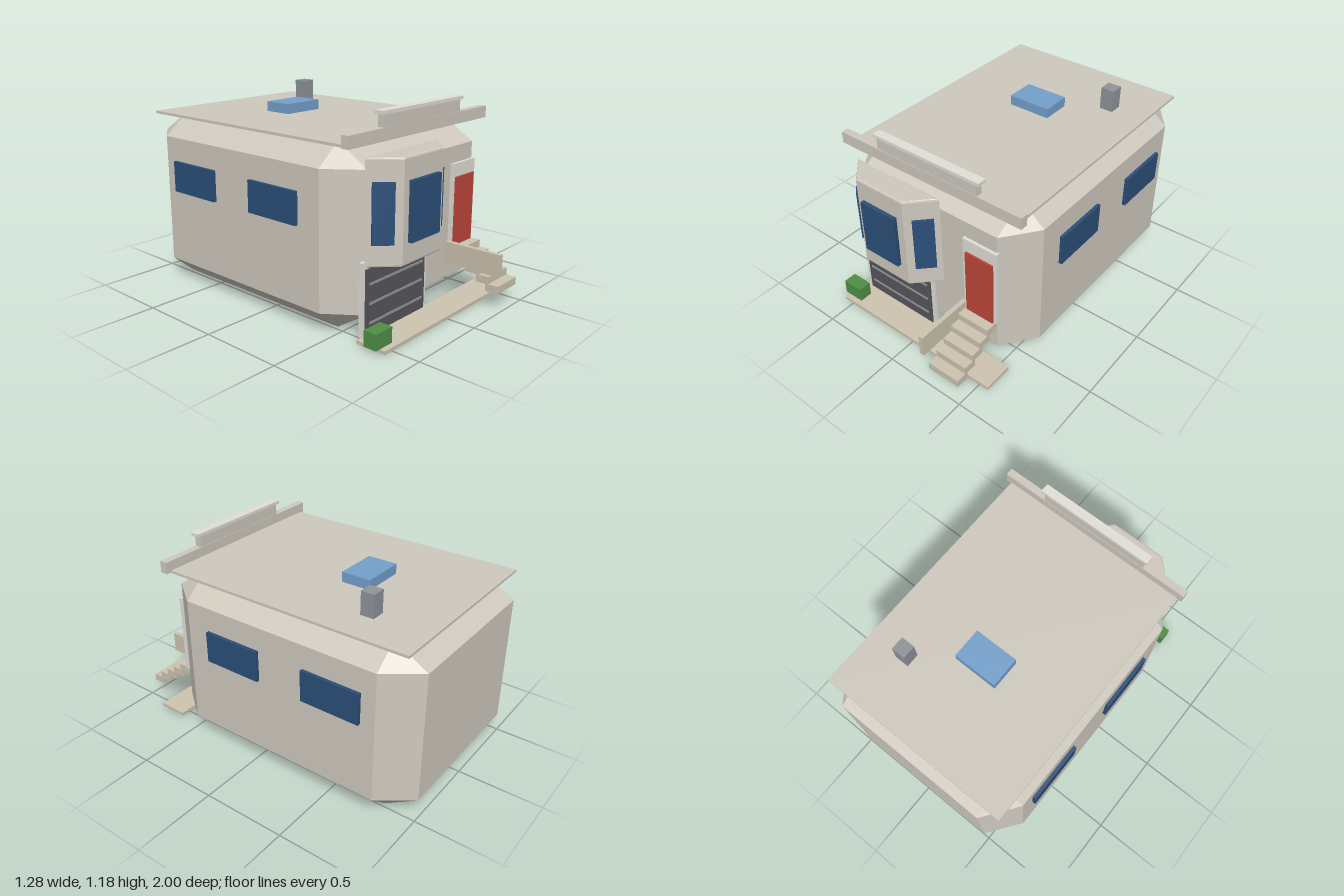
import * as THREE from 'three';
import { ConvexGeometry } from 'three/addons/geometries/ConvexGeometry.js';

const mat = (color) => new THREE.MeshStandardMaterial({ color });

export function createModel() {
  const house = new THREE.Group();
  house.name = 'house';
  const wall = mat(0xcfc9be), trim = mat(0xe2dfd8), glass = mat(0x2c4f78), dark = mat(0x56565c),
    metal = mat(0x8f9499), red = mat(0xbe463b), green = mat(0x4f9046), sky = mat(0x74a0cc), stone = mat(0xcdc4af);

  const add = (name, geometry, material, parent = house) => {
    const mesh = new THREE.Mesh(geometry, material);
    mesh.name = name;
    parent.add(mesh);
    return mesh;
  };
  // box given by its extents on each axis
  const box = (name, [x0, x1], [y0, y1], [z0, z1], material, parent) => {
    const mesh = add(name, new THREE.BoxGeometry(x1 - x0, y1 - y0, z1 - z0), material, parent);
    mesh.position.set((x0 + x1) / 2, (y0 + y1) / 2, (z0 + z1) / 2);
    return mesh;
  };

  // chamfered main body: three points at every corner
  const corners = [];
  for (const [x, xi] of [[-0.62, -0.475], [0.62, 0.475]])
    for (const [y, yi] of [[0, 0.125], [1.02, 0.9]])
      for (const [z, zi] of [[-1, -0.805], [0.64, 0.445]])
        corners.push(new THREE.Vector3(x, yi, zi), new THREE.Vector3(xi, y, zi), new THREE.Vector3(xi, yi, z));
  add('body', new ConvexGeometry(corners), wall);

  // roof and what stands on it
  box('roofSlab', [-0.585, 0.585], [1.018, 1.033], [-0.95, 0.6], wall);
  box('cornice', [-0.618, 0.618], [1.022, 1.09], [0.59, 0.636], wall);
  box('parapet', [-0.342, 0.342], [1.09, 1.158], [0.593, 0.633], wall);
  box('parapetCap', [-0.362, 0.362], [1.158, 1.177], [0.585, 0.64], trim);
  box('skylight', [-0.135, 0.13], [1.03, 1.092], [-0.437, -0.257], sky);
  box('chimney', [0.305, 0.388], [1.03, 1.167], [-0.63, -0.55], metal);

  // bay window with softly bevelled edges
  const bay = new THREE.Group();
  bay.name = 'bayWindow';
  house.add(bay);
  const b = 0.01;
  const plan = new THREE.Shape([[-0.488, -0.65], [0.088, -0.65], [-0.037, -0.775], [-0.363, -0.775]]
    .map(([x, y]) => new THREE.Vector2(x, y)));
  const bayGeometry = new THREE.ExtrudeGeometry(plan, {
    depth: 0.55, bevelEnabled: true, bevelSize: b, bevelThickness: b, bevelSegments: 2,
  });
  bayGeometry.rotateX(-Math.PI / 2);
  add('bayShell', bayGeometry, wall, bay).position.y = 0.407;
  box('bayFrontWindow', [-0.325, -0.08], [0.52, 0.845], [0.78, 0.81], glass, bay);
  for (const side of [-1, 1]) {
    const pane = add('baySideWindow', new THREE.BoxGeometry(0.116, 0.325, 0.02), glass, bay);
    pane.position.set(-0.2 + side * 0.243, 0.6825, 0.716);
    pane.rotation.y = side * Math.PI / 4;
  }

  // windows along both sides
  for (const side of [-1, 1])
    for (const z of [[-0.72, -0.36], [-0.065, 0.295]])
      box('sideWindow', side > 0 ? [0.61, 0.64] : [-0.64, -0.61], [0.575, 0.76], z, glass);

  // garage
  box('garageFrame', [-0.53, 0.027], [0.02, 0.43], [0.635, 0.655], trim);
  box('garageDoor', [-0.505, 0.003], [0.02, 0.39], [0.645, 0.663], dark);
  for (const y of [0.09, 0.198, 0.306])
    box('garageDoorRib', [-0.48, -0.022], [y - 0.006, y + 0.006], [0.66, 0.668], metal);

  // entrance
  box('doorFrame', [0.26, 0.485], [0.315, 0.802], [0.63, 0.658], trim);
  box('door', [0.282, 0.463], [0.315, 0.723], [0.65, 0.67], red);
  for (let i = 0; i < 5; i++) {
    const top = 0.315 - i * 0.0425, front = 0.727 + i * 0.0625;
    box('step', [0.27, 0.475], [top - 0.045, top], [front - 0.08, front], stone);
  }
  box('stairRail', [0.235, 0.263], [0.217, 0.347], [0.645, 1], stone);

  // forecourt
  box('pavement', [-0.56, 0.56], [0, 0.02], [0.65, 0.833], stone);
  box('planter', [-0.59, -0.46], [0.02, 0.11], [0.72, 0.8], green);

  return house;
}
